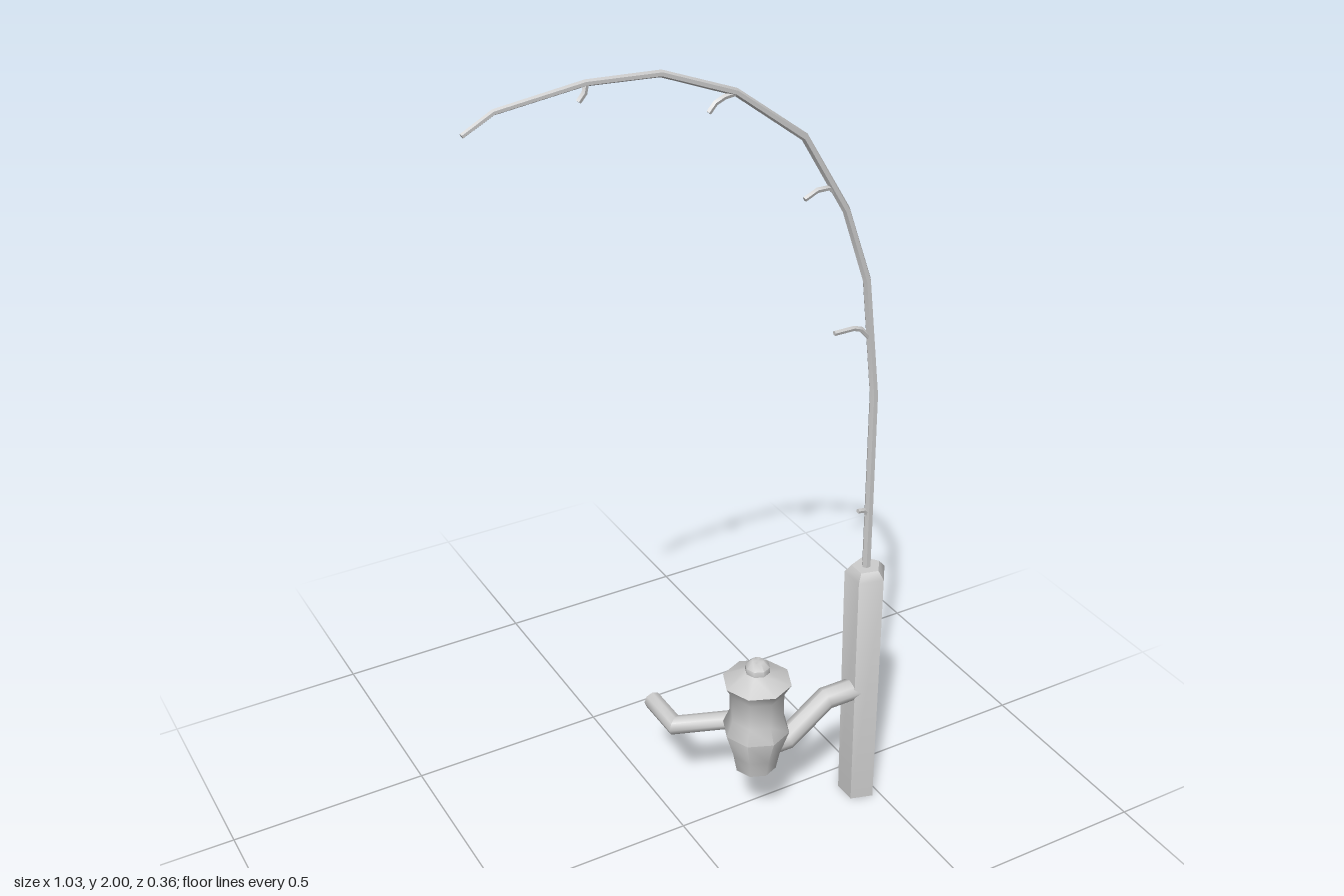
import * as THREE from 'three';
import { toCreasedNormals } from 'three/addons/utils/BufferGeometryUtils.js';

const material = new THREE.MeshStandardMaterial({ color: 0xcccccc });
const FRONT = new THREE.Vector3(0, 0, 1);
const UP = new THREE.Vector3(0, 1, 0);
const ROD_Z = 0.09;

// Capped tube with mitred corners along a path lying in the plane of the given normal
function mitredTube(path, radii, sides, normal) {
  const points = path.map((p) => new THREE.Vector3(...p));
  const last = points.length - 1;
  const positions = [], index = [];
  points.forEach((p, i) => {
    const before = points[Math.max(i, 1)].clone().sub(points[Math.max(i, 1) - 1]).normalize();
    const next = Math.min(i, last - 1);
    const after = points[next + 1].clone().sub(points[next]).normalize();
    const tangent = before.add(after).normalize();
    const stretch = 1 / Math.max(0.5, tangent.dot(after));
    const across = tangent.clone().cross(normal);
    const r = Array.isArray(radii) ? radii[i] : radii;
    for (let j = 0; j < sides; j++) {
      const a = (j / sides) * Math.PI * 2;
      const v = p.clone()
        .addScaledVector(across, r * stretch * Math.cos(a))
        .addScaledVector(normal, r * Math.sin(a));
      positions.push(v.x, v.y, v.z);
    }
  });
  const start = positions.length / 3;
  positions.push(...points[0].toArray(), ...points[last].toArray());
  for (let j = 0; j < sides; j++) {
    const k = (j + 1) % sides;
    for (let i = 0; i < last; i++) {
      const a = i * sides + j, b = i * sides + k;
      index.push(a, a + sides, b, b, a + sides, b + sides);
    }
    index.push(start, j, k, start + 1, last * sides + k, last * sides + j);
  }
  const geometry = new THREE.BufferGeometry();
  geometry.setAttribute('position', new THREE.Float32BufferAttribute(positions, 3));
  geometry.setIndex(index);
  return toCreasedNormals(geometry, 0.9);
}

export function createModel() {
  const model = new THREE.Group();
  model.name = 'fishingRod';
  const add = (name, geometry) => {
    const mesh = new THREE.Mesh(geometry, material);
    mesh.name = name;
    model.add(mesh);
    return mesh;
  };
  const inRodPlane = (list) => list.map(([x, y]) => [x, y, ROD_Z]);

  // Five-sided grip, slightly tilted, with a bevelled top
  add('handle', mitredTube(
    inRodPlane([[0.463, 0], [0.45, 0.67], [0.449, 0.69]]), [0.049, 0.052, 0.036], 5, FRONT));

  // Bent tapering blank
  const rodPath = [[0.449, 0.66], [0.44, 1.155], [0.403, 1.445], [0.34, 1.62], [0.23, 1.8],
    [0.066, 1.922], [-0.1, 1.986], [-0.26, 1.994], [-0.447, 1.97], [-0.512, 1.936]];
  const rodRadii = rodPath.map((_, i) => 0.011 - 0.0006 * i);
  add('rod', mitredTube(inRodPlane(rodPath), rodRadii, 6, FRONT));

  // Curled line guides on the inner side of the bend
  const guides = [
    [[0.444, 0.835], [0.432, 0.85], [0.415, 0.853]],
    [[0.415, 1.305], [0.395, 1.328], [0.375, 1.335], [0.325, 1.335]],
    [[0.31, 1.665], [0.295, 1.678], [0.265, 1.678], [0.235, 1.664]],
    [[0.07, 1.92], [0.04, 1.916], [0.02, 1.907], [0.005, 1.89]],
    [[-0.258, 1.993], [-0.262, 1.975], [-0.275, 1.96]],
  ];
  guides.forEach((g, i) => add(`lineGuide${i + 1}`, mitredTube(inRodPlane(g), 0.006, 5, FRONT)));

  // Cranked foot joining the reel to the grip
  add('reelFoot', mitredTube(
    [[0.44, 0.337, 0.097], [0.345, 0.337, 0.097], [0.235, 0.257, 0.097], [0.15, 0.257, 0.097]],
    0.028, 8, FRONT));

  // Eight-sided reel body with spool lip and top knob
  const profile = [[0, 0.21], [0.052, 0.21], [0.06, 0.255], [0.082, 0.325], [0.067, 0.365],
    [0.067, 0.435], [0.084, 0.466], [0.03, 0.493], [0.03, 0.508], [0.014, 0.523], [0, 0.523]];
  const reel = add('reelBody', toCreasedNormals(
    new THREE.LatheGeometry(profile.map(([x, y]) => new THREE.Vector2(x, y)), 8), 0.9));
  reel.position.set(0.147, 0, 0.096);

  // Winding crank reaching out behind the reel
  add('crank', mitredTube(
    [[0.147, 0.267, 0.09], [0.147, 0.267, -0.02], [0.014, 0.267, -0.069], [0.014, 0.267, -0.184]],
    0.023, 8, UP));

  return model;
}
